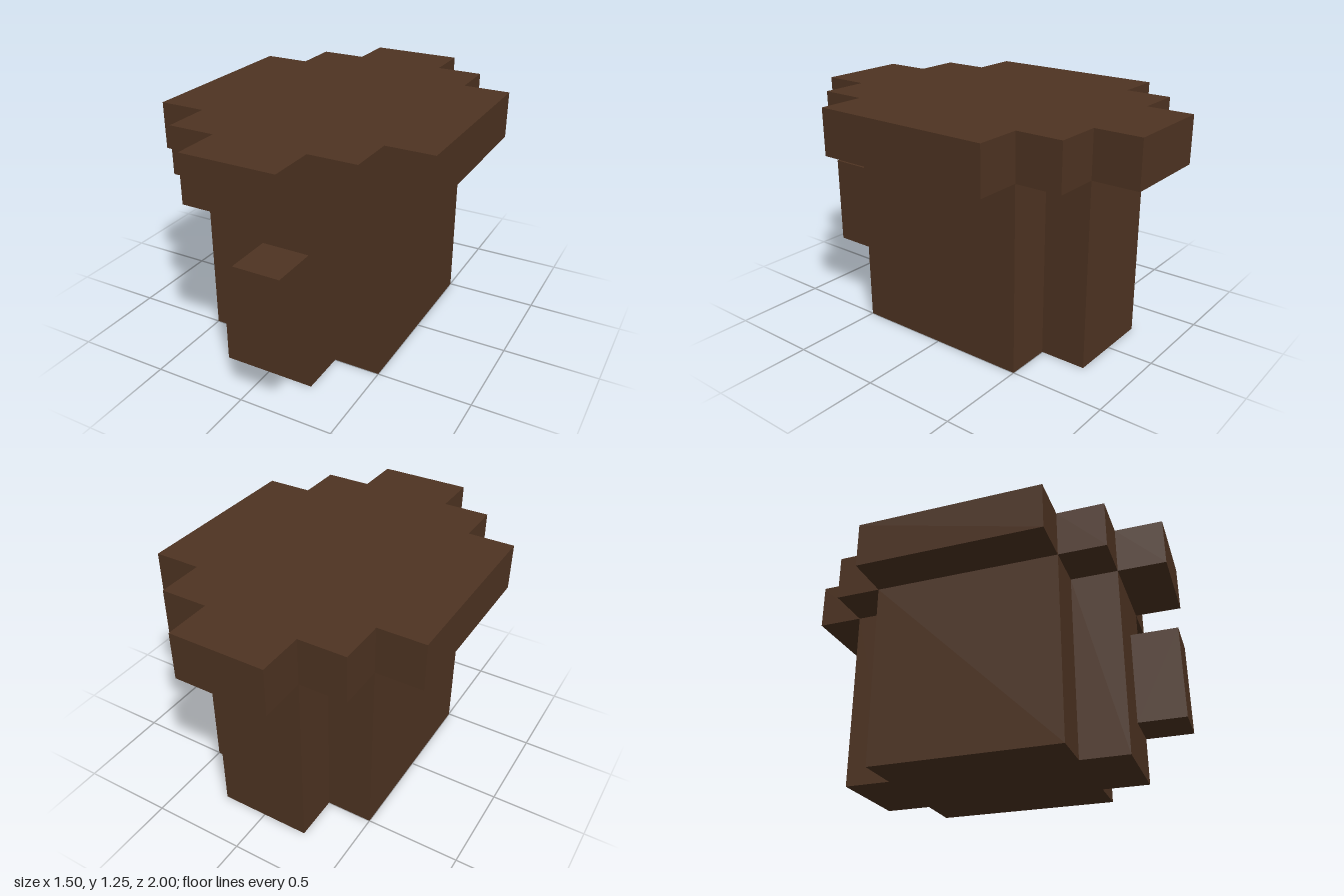
import * as THREE from 'three';

// Stepped outline, symmetric in both axes, from its corners in one quadrant
function steppedSlab(corners, bottom, height) {
  const q = corners.map(([x, z]) => new THREE.Vector2(x, z));
  const flip = (pts, sx, sz) => pts.map(p => new THREE.Vector2(p.x * sx, p.y * sz));
  const r = [...q].reverse();
  const outline = [...q, ...flip(r, -1, 1), ...flip(q, -1, -1), ...flip(r, 1, -1)];
  const geo = new THREE.ExtrudeGeometry(new THREE.Shape(outline), { depth: height, bevelEnabled: false });
  geo.rotateX(-Math.PI / 2);
  geo.translate(0, bottom, 0);
  return geo;
}

export function createModel() {
  const group = new THREE.Group();
  const wood = new THREE.MeshStandardMaterial({ color: 0x4f3422 });
  wood.name = 'darkBrown';
  const add = (name, geo) => {
    const mesh = new THREE.Mesh(geo, wood);
    mesh.name = name;
    group.add(mesh);
    return mesh;
  };

  // Body with notched corners
  add('body', steppedSlab([[0.5, 0.5], [0.25, 0.5], [0.25, 0.75]], 0, 1));

  // Overhanging top with two steps at each corner
  add('top', steppedSlab([[0.75, 0.5], [0.5, 0.5], [0.5, 0.75], [0.25, 0.75], [0.25, 1]], 1, 0.25));

  // Block on the front, off centre
  add('frontBlock', new THREE.BoxGeometry(0.25, 0.5, 0.25)).position.set(0.125, 0.5, 0.875);

  return group;
}
